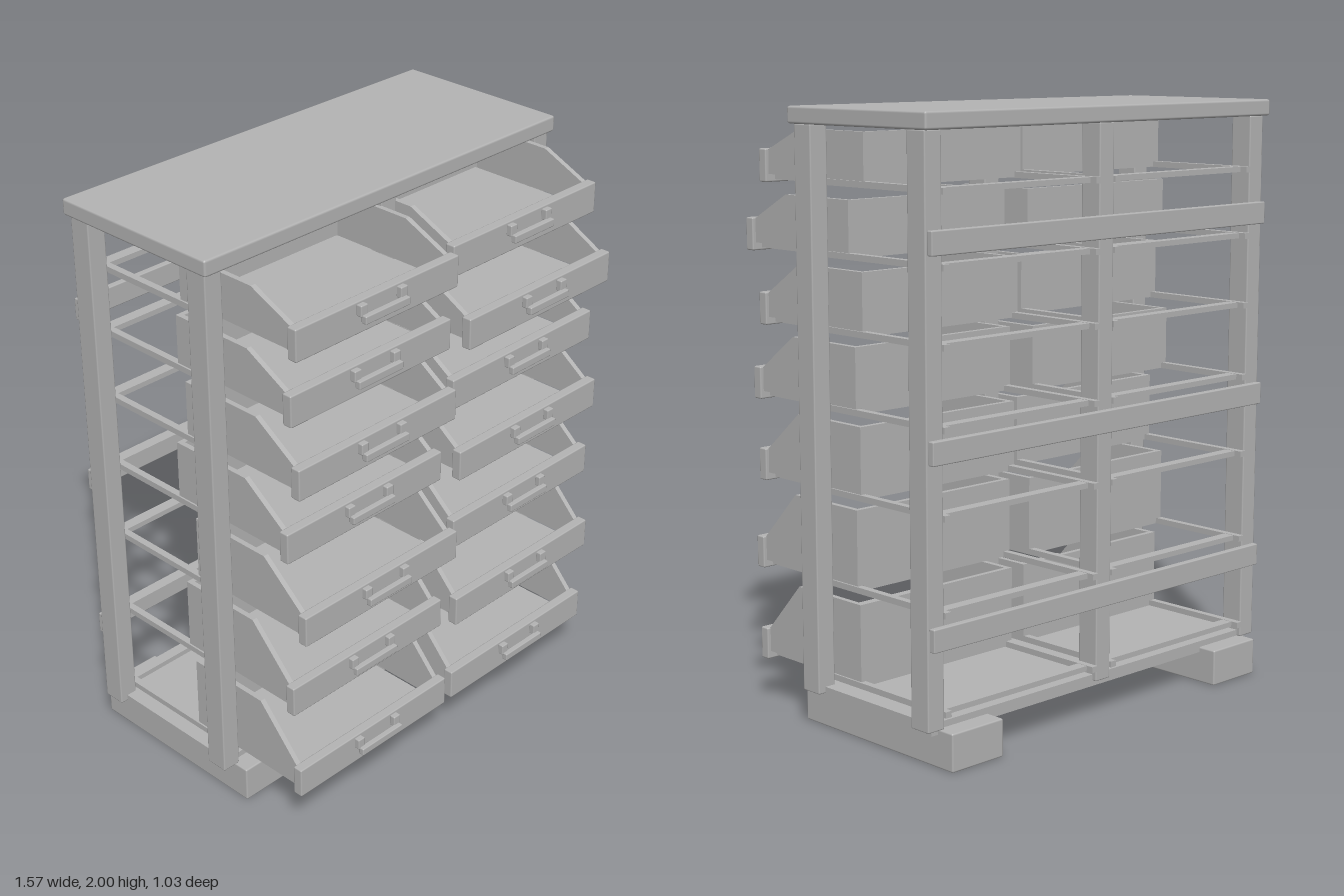
import * as THREE from 'three';
import { RoundedBoxGeometry } from 'three/addons/geometries/RoundedBoxGeometry.js';

const grey = new THREE.MeshStandardMaterial({ color: 0xb4b4b4 });
grey.name = 'grey';

// Box given by its extents; r > 0 softens the edges
function box(parent, name, x0, x1, y0, y1, z0, z1, r = 0) {
  const s = [x1 - x0, y1 - y0, z1 - z0];
  const g = r ? new RoundedBoxGeometry(...s, 1, r) : new THREE.BoxGeometry(...s);
  const m = new THREE.Mesh(g, grey);
  m.position.set((x0 + x1) / 2, (y0 + y1) / 2, (z0 + z1) / 2);
  m.name = name;
  parent.add(m);
  return m;
}

// Open-front bin; origin at the bottom centre of its front face
function drawer(height, lip) {
  const g = new THREE.Group();
  g.name = 'drawer';
  const depth = 0.505, half = 0.335, wall = 0.018;
  box(g, 'drawerFront', -0.347, 0.347, 0, lip, -0.036, 0, 0.005);
  box(g, 'drawerBottom', -0.31, 0.31, 0.008, 0.028, -depth, -0.03);
  box(g, 'drawerBack', -half, half, 0.026, height, -depth, -depth + wall);

  // Sloped side walls
  const shape = new THREE.Shape();
  shape.moveTo(-0.03, 0.026);
  shape.lineTo(-0.03, lip - 0.005);
  shape.lineTo(-0.195, height);
  shape.lineTo(-depth + wall, height);
  shape.lineTo(-depth + wall, 0.026);
  const sideGeo = new THREE.ExtrudeGeometry(shape, { depth: wall, bevelEnabled: false });
  sideGeo.rotateY(-Math.PI / 2); // profile x becomes z, thickness runs to -x
  for (const x of [-half + wall, half]) {
    const side = new THREE.Mesh(sideGeo, grey);
    side.name = 'drawerSide';
    side.position.x = x;
    g.add(side);
  }

  // Handle: two stand-offs and a bar
  for (const s of [-1, 1]) {
    box(g, 'handleMount', s * 0.085 - 0.015, s * 0.085 + 0.015, lip - 0.045, lip - 0.007, -0.002, 0.02, 0.004);
  }
  box(g, 'handleBar', -0.095, 0.095, lip - 0.065, lip - 0.038, 0.014, 0.035, 0.004);
  return g;
}

export function createModel() {
  const model = new THREE.Group();
  model.name = 'drawerCabinet';

  // Top, base and feet
  box(model, 'top', -0.785, 0.785, 1.945, 2, -0.48, 0.163, 0.008);
  box(model, 'basePanel', -0.745, 0.745, 0.107, 0.146, -0.445, 0.125);
  for (const s of [-1, 1]) {
    box(model, 'foot', s * 0.6125 - 0.1075, s * 0.6125 + 0.1075, 0, 0.125, -0.512, 0.195, 0.006);
  }

  // Posts, front and back
  for (const [z0, z1] of [[0.065, 0.145], [-0.46, -0.38]]) {
    for (const [x0, x1] of [[-0.772, -0.705], [-0.033, 0.033], [0.705, 0.772]]) {
      box(model, 'post', x0, x1, 0.124, 1.946, z0, z1, 0.005);
    }
  }

  // Wide slats across the back
  for (const y of [0.38, 0.955, 1.58]) {
    box(model, 'backSlat', -0.765, 0.765, y, y + 0.075, -0.482, -0.459, 0.004);
  }

  // Rows: bottom height, drawer height, front z of the right and left drawers
  const rows = [
    [1.75, 0.176, 0.455, 0.405],
    [1.525, 0.19, 0.43, 0.48],
    [1.287, 0.21, 0.46, 0.418],
    [1.038, 0.222, 0.405, 0.455],
    [0.768, 0.242, 0.48, 0.435],
    [0.467, 0.273, 0.42, 0.457],
    [0.154, 0.28, 0.447, 0.445],
  ];
  for (const [y, height, zNeg, zPos] of rows) {
    for (const s of [-1, 1]) {
      const d = drawer(height, 0.107);
      d.position.set(s * 0.364, y, s < 0 ? zNeg : zPos);
      model.add(d);
      // Runners beside the posts
      for (const x of [0.044, 0.693]) {
        box(model, 'runner', s * x - 0.012, s * x + 0.012, y + 0.006, y + 0.026, -0.466, 0.12);
      }
      // Cross bar between the back posts
      box(model, 'crossBar', s * 0.369 - 0.337, s * 0.369 + 0.337, y + 0.007, y + 0.025, -0.44, -0.4);
    }
  }
  return model;
}
